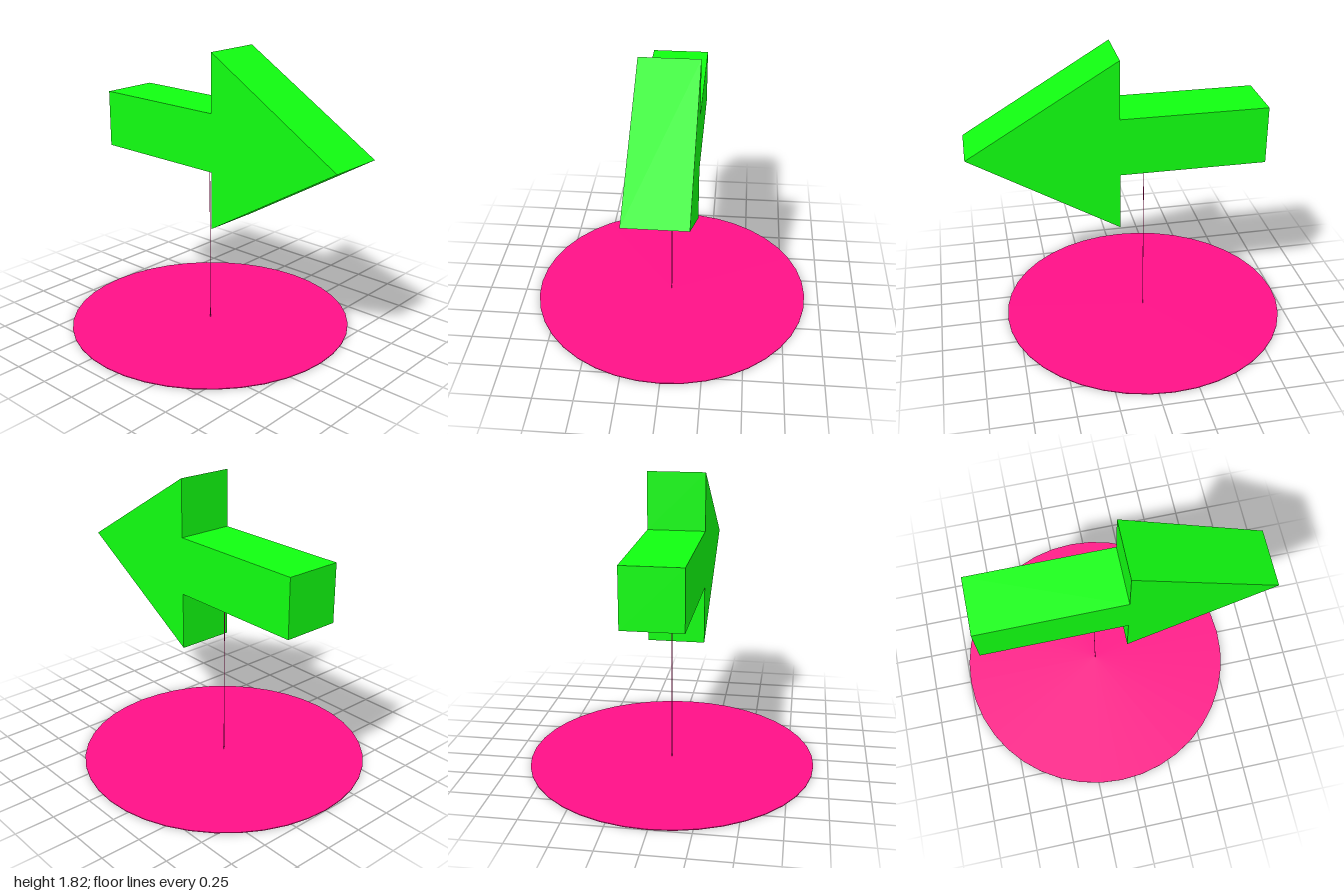
import * as THREE from 'three';

const U = 2 / 11;              // modelling unit
const CX = -1 + 5 * U;         // centre of base and pole
const BASE_H = 0.005;
const AXIS_Y = 7 * U + BASE_H; // height of the arrow's axis

export function createModel() {
  const group = new THREE.Group();
  const pink = new THREE.MeshStandardMaterial({ color: 0xff1088, flatShading: true });
  const green = new THREE.MeshStandardMaterial({ color: 0x11ff11, flatShading: true });

  const add = (name, geometry, material, x, y, z = 0) => {
    const mesh = new THREE.Mesh(geometry, material);
    mesh.name = name;
    mesh.position.set(x, y, z);
    group.add(mesh);
  };

  // Thin round base
  add('base', new THREE.CylinderGeometry(5 * U, 5 * U, BASE_H, 40), pink, CX, BASE_H / 2);

  // Hair-thin pole from the base to the underside of the shaft
  const poleH = AXIS_Y - U;
  add('pole', new THREE.CylinderGeometry(0.002, 0.002, poleH, 8), pink, CX, poleH / 2);

  // Arrow: upper half of the outline, mirrored about its axis
  const half = [[-4, 1], [1, 1], [1, 3]];
  const outline = [
    ...half.map(([x, y]) => [x, -y]),
    [6, 0],
    ...half.map(([x, y]) => [x, y]).reverse(),
  ].map(([x, y]) => new THREE.Vector2(x * U, y * U));
  const arrow = new THREE.ExtrudeGeometry(new THREE.Shape(outline), { depth: 2 * U, bevelEnabled: false });
  add('arrow', arrow, green, CX, AXIS_Y, -U);

  return group;
}
